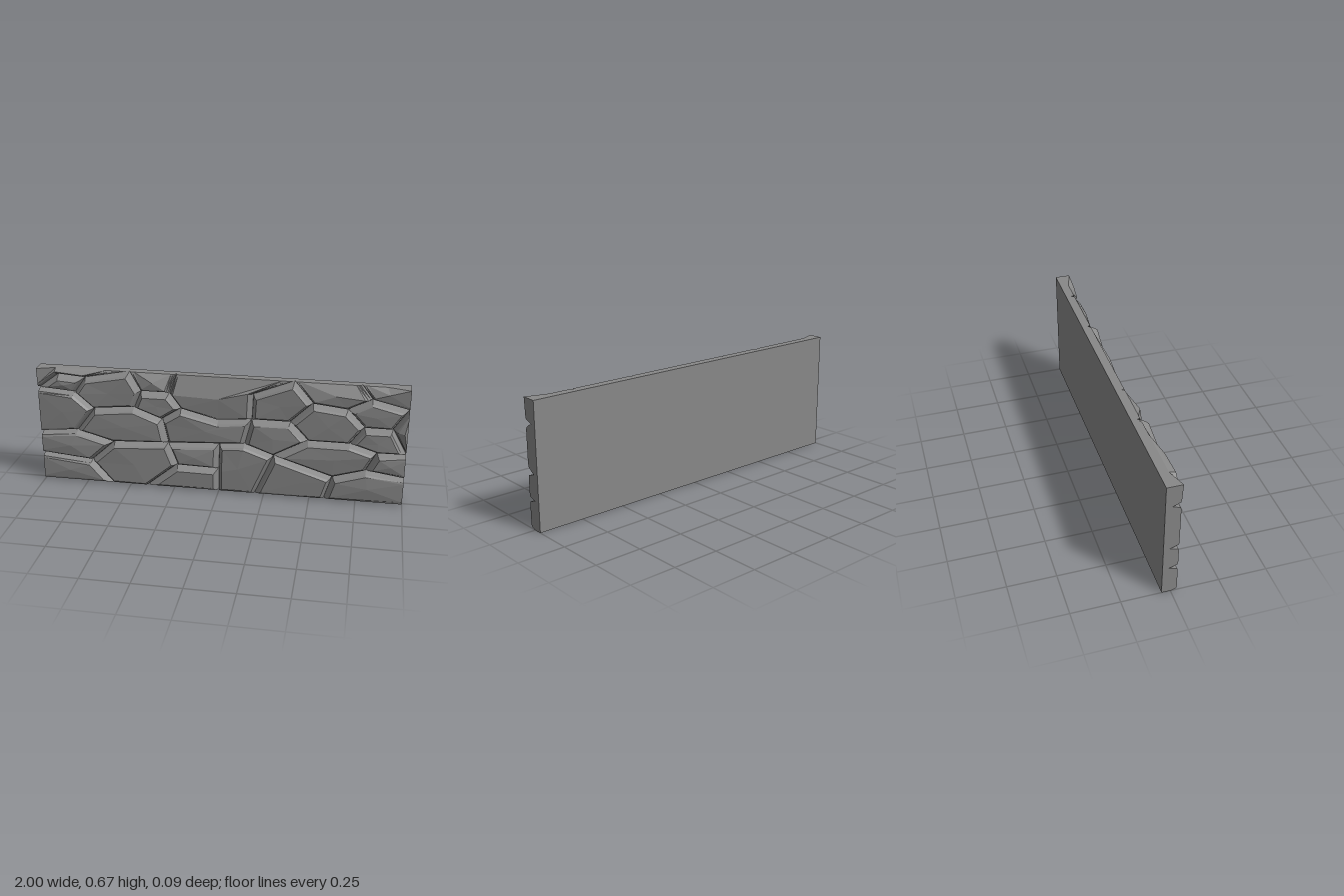
import * as THREE from 'three';

const H = 0.667, BACK = -0.045, GROOVE = -0.015;

// Joint points of the stone pattern, [x, y] in hundredths
const P = {
  tl: [-100, 66.7], tl2: [-90, 66.7], t1: [-49, 66.7], t2: [-23.5, 66.7], t3: [40, 66.7], t4: [75, 66.7], tr2: [88, 66.7], tr: [100, 66.7],
  l1: [-100, 54.7], l2: [-100, 28.6], l3: [-100, 15.7], bl: [-100, 0],
  b1: [-60.5, 0], b2: [-40, 0], b3: [-0.5, 0], b4: [20, 0], b5: [58, 0], br: [100, 0],
  r1: [100, 54.5], r2: [100, 29.1], r3: [100, 15.4],
  a: [-89, 63], b: [-80, 53.2], c: [-74, 61.8], d: [-43, 55.9], e: [-47, 46.3], f: [-69.5, 44.1], g: [-79.7, 30.7],
  h: [-27.3, 55.9], i: [-21, 47.3], j: [-31.5, 40.4], k: [-28.5, 26.5], l: [-59, 25], m: [-72, 13.1], n: [-23.5, 13.6],
  o: [-0.5, 42], p: [17.6, 43.6], q: [14, 29.1], r: [0, 28.1], s: [-0.5, 13.1], u: [18.2, 58],
  A: [50, 54.8], B: [68.5, 52.7], C: [77.5, 43], D: [70.5, 33.4], E: [48, 33.4], F: [38.5, 43.6], G: [30, 23.3],
  I: [85, 28.9], J: [79.7, 18.4], K: [62, 13.1], L: [92.5, 43], M: [80.7, 59.1],
};

const STONES = [
  'tl tl2 t1 c a l1', 'l1 a c b', 'c t1 d e f b', 'l1 b f g l2', 't1 t2 h d', 'd h i j e',
  'f e j k l g', 'l2 g l m l3', 'l3 m b1 bl', 'l k n b2 b1 m', 'k r s n', 'n s b3 b2',
  'j i o p q r k', 't2 t3 u p o i h', 'u t3 A F p', 'p F E G q', 'r q G b4 b3 s',
  't3 t4 M B A', 'A B C D E F', 'E D I J K G', 'G K b5 b4', 'K J r3 br b5', 'I r2 r3 J',
  'C L r2 I D', 'L r1 r2', 'M r1 L C B', 't4 tr2 tr r1 M',
];

// Bevel rings: inset from grooves, inset from the bottom edge, height
const RINGS = [[0, 0, GROOVE], [0.005, 0, 0.005], [0.014, 0.01, 0.029], [0.024, 0.022, 0.04]];

const on = (p, q, axis, v) => Math.abs(p[axis] - v) < 1e-4 && Math.abs(q[axis] - v) < 1e-4;

// Moves every edge inwards and meets neighbouring edges again
function insetRing(pts, [gap, bottomGap, z], ringIndex, seed) {
  const edges = pts.map((p, i) => {
    const q = pts[(i + 1) % pts.length];
    const len = Math.hypot(q[0] - p[0], q[1] - p[1]);
    const rim = on(p, q, 0, 1) || on(p, q, 0, -1) || on(p, q, 1, H);
    return {
      nx: (p[1] - q[1]) / len, ny: (q[0] - p[0]) / len,
      d: rim ? 0 : on(p, q, 1, 0) ? bottomGap : gap,
    };
  });
  return pts.map((p, i) => {
    const e = edges[(i + pts.length - 1) % pts.length], f = edges[i];
    const det = e.nx * f.ny - e.ny * f.nx;
    let x = p[0] + f.nx * f.d, y = p[1] + f.ny * f.d;
    if (Math.abs(det) > 0.05) {
      x = p[0] + (e.d * f.ny - f.d * e.ny) / det;
      y = p[1] + (e.nx * f.d - f.nx * e.d) / det;
    }
    // Slight unevenness, with the top rim chipped back between the corners
    let h = ringIndex === 3 ? z + 0.003 * Math.sin(seed * 2.3 + i * 1.9) : z;
    if (y > H - 1e-4) h = Math.min(h, Math.abs(x) > 0.95 ? 0.037 : 0.002);
    else if (Math.abs(x) > 0.9999) h = Math.min(h, 0.032);
    return [x, y, h];
  });
}

const area = (a, b, c) => (b[0] - a[0]) * (c[1] - a[1]) - (b[1] - a[1]) * (c[0] - a[0]);

function stoneGeometry(names, seed) {
  let pts = names.split(' ').map((n) => [P[n][0] / 100, P[n][1] / 100]);
  const sum = pts.reduce((s, p, i) => s + area([0, 0], p, pts[(i + 1) % pts.length]), 0);
  if (sum < 0) pts = pts.reverse();
  const n = pts.length;
  const rings = RINGS.map((r, i) => insetRing(pts, r, i, seed));
  const pos = [];
  const tri = (a, b, c) => pos.push(...a, ...b, ...c);

  // Bevelled sides
  for (let k = 0; k < 3; k++) {
    for (let i = 0; i < n; i++) {
      const j = (i + 1) % n;
      tri(rings[k][i], rings[k][j], rings[k + 1][j]);
      tri(rings[k][i], rings[k + 1][j], rings[k + 1][i]);
    }
  }

  // Faceted face, crowned at its middle where the outline allows it
  const top = rings[3];
  const mid = [0, 1].map((a) => top.reduce((s, p) => s + p[a], 0) / n);
  mid.push(0.0425 + 0.0025 * Math.sin(seed * 4.1));
  if (top.every((p, i) => area(mid, p, top[(i + 1) % n]) > 0)) {
    top.forEach((p, i) => tri(mid, p, top[(i + 1) % n]));
  } else {
    const flat = top.map((p) => new THREE.Vector2(p[0], p[1]));
    for (const [a, b, c] of THREE.ShapeUtils.triangulateShape(flat, [])) tri(top[a], top[b], top[c]);
  }

  const geo = new THREE.BufferGeometry();
  geo.setAttribute('position', new THREE.Float32BufferAttribute(pos, 3));
  geo.computeVertexNormals();
  return geo;
}

export function createModel() {
  const group = new THREE.Group();
  group.name = 'stoneWallPanel';
  const stone = new THREE.MeshStandardMaterial({ color: 0x888888, flatShading: true });
  stone.name = 'grey stone';

  // Backing slab
  const slab = new THREE.Mesh(new THREE.BoxGeometry(2, H, GROOVE - BACK), stone);
  slab.name = 'backingSlab';
  slab.position.set(0, H / 2, (GROOVE + BACK) / 2);
  group.add(slab);

  // Facing stones
  STONES.forEach((names, i) => {
    const mesh = new THREE.Mesh(stoneGeometry(names, i + 1), stone);
    mesh.name = `facingStone${i + 1}`;
    group.add(mesh);
  });
  return group;
}
